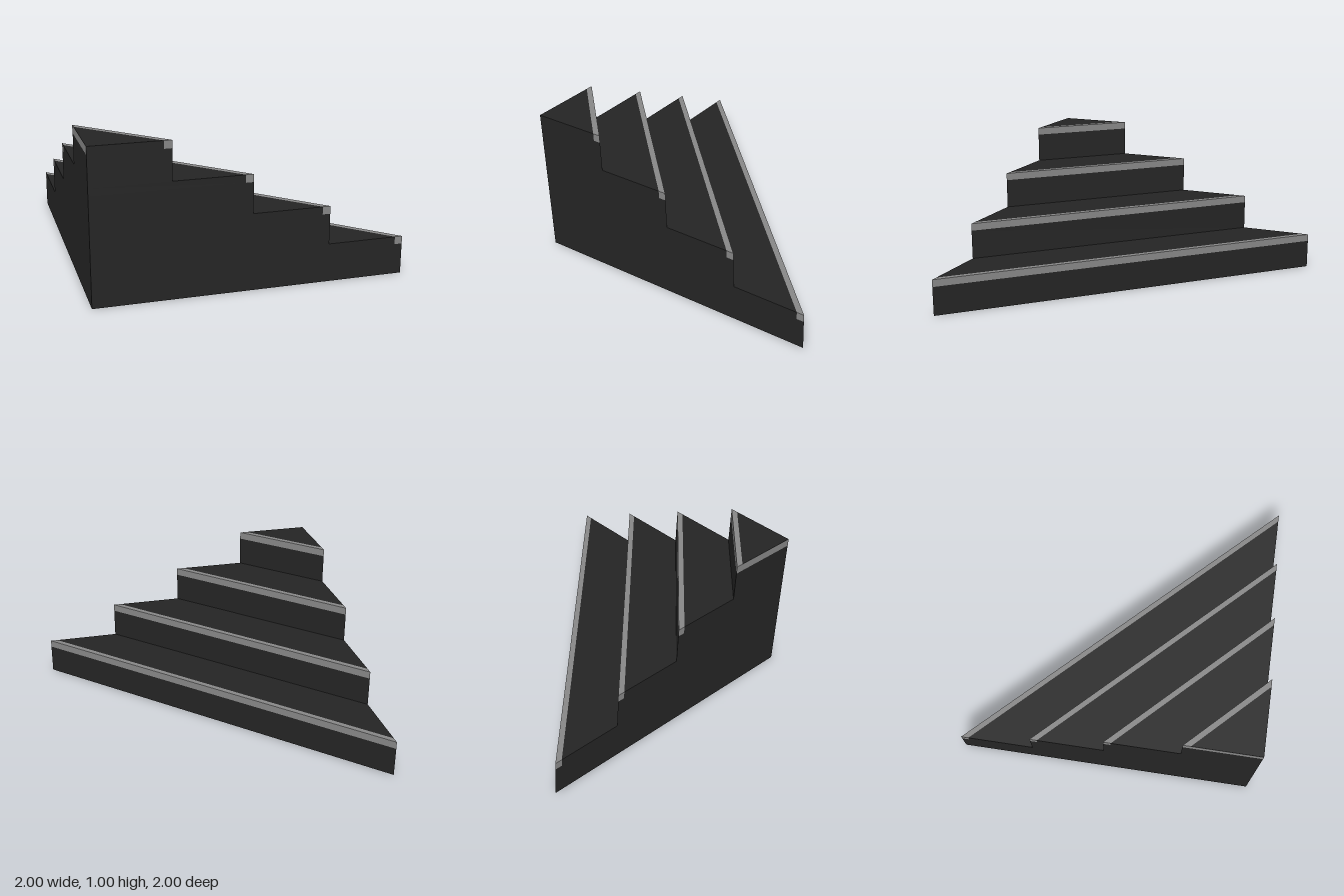
import * as THREE from 'three';

const STEPS = 4, RISE = 0.25, RUN = 0.5, NOSE = 0.05;

// Upright prism over a floor outline of [x, -z] points
function prism(points, y, height, material, name) {
  const shape = new THREE.Shape(points.map(([a, b]) => new THREE.Vector2(a, b)));
  const geometry = new THREE.ExtrudeGeometry(shape, { depth: height, bevelEnabled: false });
  geometry.rotateX(-Math.PI / 2);
  const mesh = new THREE.Mesh(geometry, material);
  mesh.position.y = y;
  mesh.name = name;
  return mesh;
}

// Right triangle with its square corner at x = -1, z = 1
const triangle = (leg) => [[-1, -1], [-1 + leg, -1], [-1, -1 + leg]];

export function createModel() {
  const dark = new THREE.MeshStandardMaterial({ color: 0x242424 });
  dark.name = 'charcoal';
  const grey = new THREE.MeshStandardMaterial({ color: 0x868686 });
  grey.name = 'edge grey';

  const model = new THREE.Group();
  model.name = 'cornerStairs';

  for (let i = 0; i < STEPS; i++) {
    const leg = RUN * (STEPS - i), inner = leg - NOSE, y = i * RISE;
    const step = new THREE.Group();
    step.name = 'step' + (i + 1);
    step.add(
      prism(triangle(leg), y, RISE - NOSE, dark, 'riser'),
      prism(triangle(inner), y + RISE - NOSE, NOSE, dark, 'tread'),
      // Grey strip along the diagonal edge
      prism([[-1 + inner, -1], [-1 + leg, -1], [-1, -1 + leg], [-1, -1 + inner]],
        y + RISE - NOSE, NOSE, grey, 'nosing'));
    model.add(step);
  }

  // Grey band along the side wall of the top step
  const band = new THREE.Mesh(new THREE.PlaneGeometry(RUN, NOSE), grey);
  band.rotation.y = -Math.PI / 2;
  band.position.set(-1.001, STEPS * RISE - NOSE / 2, 1 - RUN / 2);
  band.name = 'topSideBand';
  model.add(band);

  return model;
}
